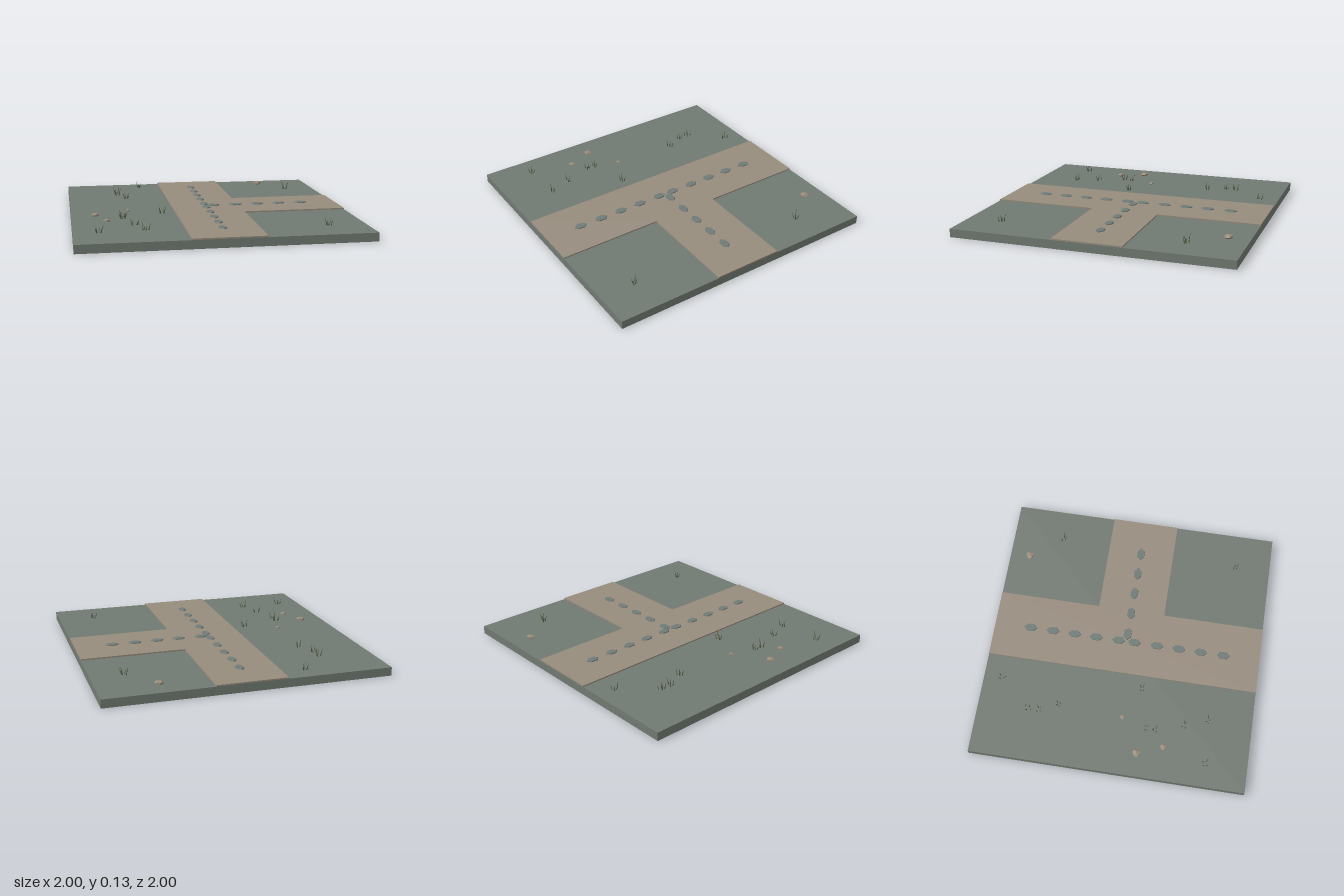
import * as THREE from 'three';

const material = (name, color) => {
  const m = new THREE.MeshStandardMaterial({ color, flatShading: true });
  m.name = name;
  return m;
};

export function createModel() {
  const model = new THREE.Group();
  model.name = 'pathJunctionTile';
  const ground = material('mossy ground', 0x717a72);
  const dirt = material('packed dirt', 0x978c7e);
  const slate = material('slate', 0x707b77);
  const pebbleTan = material('pebble tan', 0x9a8c7b);
  const grass = material('dry grass', 0x55593f);

  const add = (parent, name, geometry, mat, x, y, z) => {
    const mesh = new THREE.Mesh(geometry, mat);
    mesh.name = name;
    mesh.position.set(x, y, z);
    parent.add(mesh);
    return mesh;
  };
  const group = (name) => {
    const g = new THREE.Group();
    g.name = name;
    model.add(g);
    return g;
  };

  // Ground slab
  const TOP = 0.06, ROAD = 0.07;
  add(model, 'groundSlab', new THREE.BoxGeometry(2, TOP, 2), ground, 0, TOP / 2, 0);

  // T-shaped dirt road, drawn in plan and extruded upward
  const plan = [[-0.25, -1], [0.25, -1], [0.25, -0.25], [1, -0.25], [1, 0.25], [0.25, 0.25], [0.25, 1], [-0.25, 1]];
  const roadGeometry = new THREE.ExtrudeGeometry(
    new THREE.Shape(plan.map(([x, y]) => new THREE.Vector2(x, y))),
    { depth: ROAD - TOP, bevelEnabled: false }
  ).rotateX(-Math.PI / 2);
  add(model, 'road', roadGeometry, dirt, 0, TOP, 0);

  // Long hexagonal stepping stones along both arms
  const stones = group('steppingStones');
  const stoneGeometry = new THREE.CylinderGeometry(0.046, 0.05, 0.008, 6).scale(0.63, 1, 1);
  const steps = [0.06, 0.23, 0.395, 0.56, 0.73];
  for (const s of steps) {
    for (const side of [-1, 1]) add(stones, 'steppingStone', stoneGeometry, slate, 0, ROAD + 0.003, s * side);
    add(stones, 'steppingStone', stoneGeometry, slate, s, ROAD + 0.0035, 0).rotation.y = Math.PI / 2;
  }

  // Flattened pebbles on the verges
  const pebbles = group('pebbles');
  const pebbleGeometry = new THREE.DodecahedronGeometry(1, 0).scale(1, 0.5, 1);
  for (const [x, z, r] of [[0.59, -0.85, 0.032], [-0.83, 0.2, 0.031], [-0.757, 0.385, 0.024], [-0.582, 0.06, 0.018]]) {
    add(pebbles, 'pebble', pebbleGeometry, pebbleTan, x, TOP + r * 0.38, z).scale.setScalar(r);
  }

  // Grass tufts: a few thin blades leaning outward
  let seed = 7;
  const random = () => (seed = (seed * 16807) % 2147483647) / 2147483647;
  const bladeGeometry = new THREE.ConeGeometry(0.0045, 1, 3).translate(0, 0.5, 0);
  const tufts = [
    [-0.415, -0.865], [-0.617, -0.63], [-0.617, -0.55], [-0.56, -0.41],
    [-0.347, 0.17], [-0.64, 0.24], [-0.645, 0.305], [-0.57, 0.515],
    [-0.515, 0.68], [-0.833, 0.695], [0.77, -0.61], [0.73, 0.74],
  ];
  for (const [x, z] of tufts) {
    const tuft = group('grassTuft');
    tuft.position.set(x, TOP, z);
    for (let i = 0; i < 4; i++) {
      const angle = (i / 4) * Math.PI * 2 + random() * 1.2;
      const reach = 0.008 + random() * 0.014;
      const blade = add(tuft, 'grassBlade', bladeGeometry, grass, Math.sin(angle) * reach, 0, Math.cos(angle) * reach);
      blade.scale.y = 0.035 + random() * 0.035;
      blade.rotation.set(0.1 + random() * 0.3, angle, 0, 'YXZ');
    }
  }
  return model;
}
